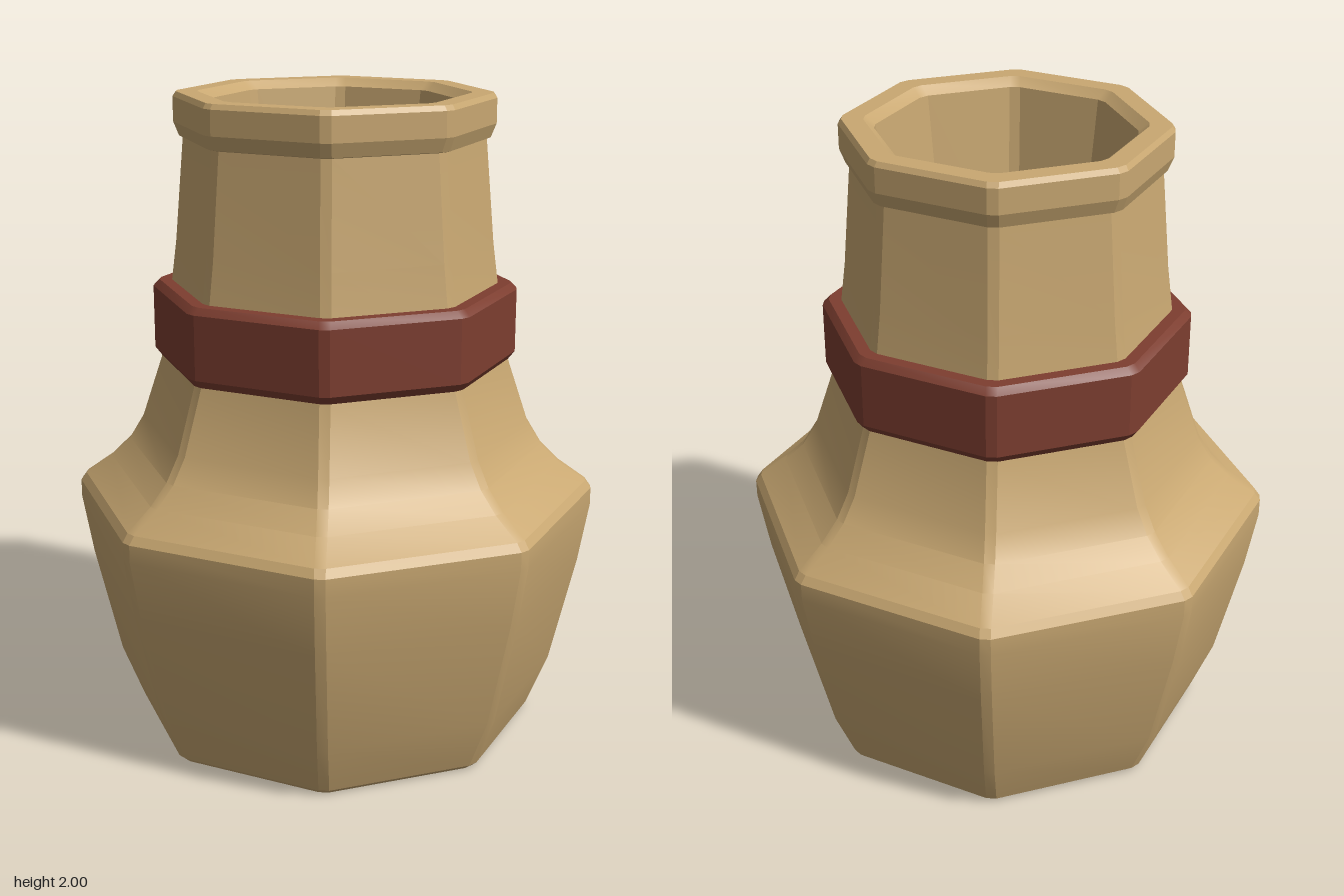
import * as THREE from 'three';
import { toCreasedNormals } from 'three/addons/utils/BufferGeometryUtils.js';

const SIDES = 8;

// Octagonal turned solid whose vertical edges carry a narrow bevel.
function octagonLathe(profile, bevel) {
  const points = profile.map(([r, y]) => new THREE.Vector2(r, y));
  const geometry = new THREE.LatheGeometry(points, SIDES * 2);
  const pos = geometry.attributes.position;
  for (let v = 0; v < pos.count; v++) {
    const column = Math.floor(v / points.length);
    const { x: r, y } = points[v % points.length];
    const angle = Math.floor(column / 2) * Math.PI * 2 / SIDES;
    const side = r < 0.05 ? 0 : (column % 2 ? bevel : -bevel);
    pos.setXYZ(v,
      r * Math.sin(angle) + side * Math.cos(angle), y,
      r * Math.cos(angle) - side * Math.sin(angle));
  }
  return toCreasedNormals(geometry, 0.3);
}

export function createModel() {
  const clay = new THREE.MeshStandardMaterial({ color: 0xc9a872 });
  const redBand = new THREE.MeshStandardMaterial({ color: 0x7d3e30 });
  const model = new THREE.Group();
  model.name = 'vase';

  const add = (name, profile, bevel, material) => {
    const mesh = new THREE.Mesh(octagonLathe(profile, bevel), material);
    mesh.name = name;
    model.add(mesh);
  };

  // Belly, shoulder, neck, rolled rim and hollow mouth
  add('vaseBody', [
    [0, 0], [0.615, 0], [0.632, 0.015], [0.70, 0.18], [0.78, 0.52],
    [0.813, 0.71], [0.813, 0.765], [0.795, 0.79], [0.71, 0.85],
    [0.65, 0.91], [0.605, 0.985], [0.54, 1.18], [0.51, 1.36],
    [0.485, 1.55], [0.457, 1.865], [0.468, 1.868], [0.485, 1.91],
    [0.485, 1.985], [0.475, 2], [0.41, 2], [0.38, 1.975],
    [0.315, 1.4], [0, 1.4],
  ], 0.016, clay);

  // Collar around the neck
  add('neckBand', [
    [0.48, 1.185], [0.54, 1.185], [0.56, 1.21], [0.56, 1.405],
    [0.54, 1.425], [0.48, 1.425], [0.48, 1.185],
  ], 0.016, redBand);

  return model;
}
